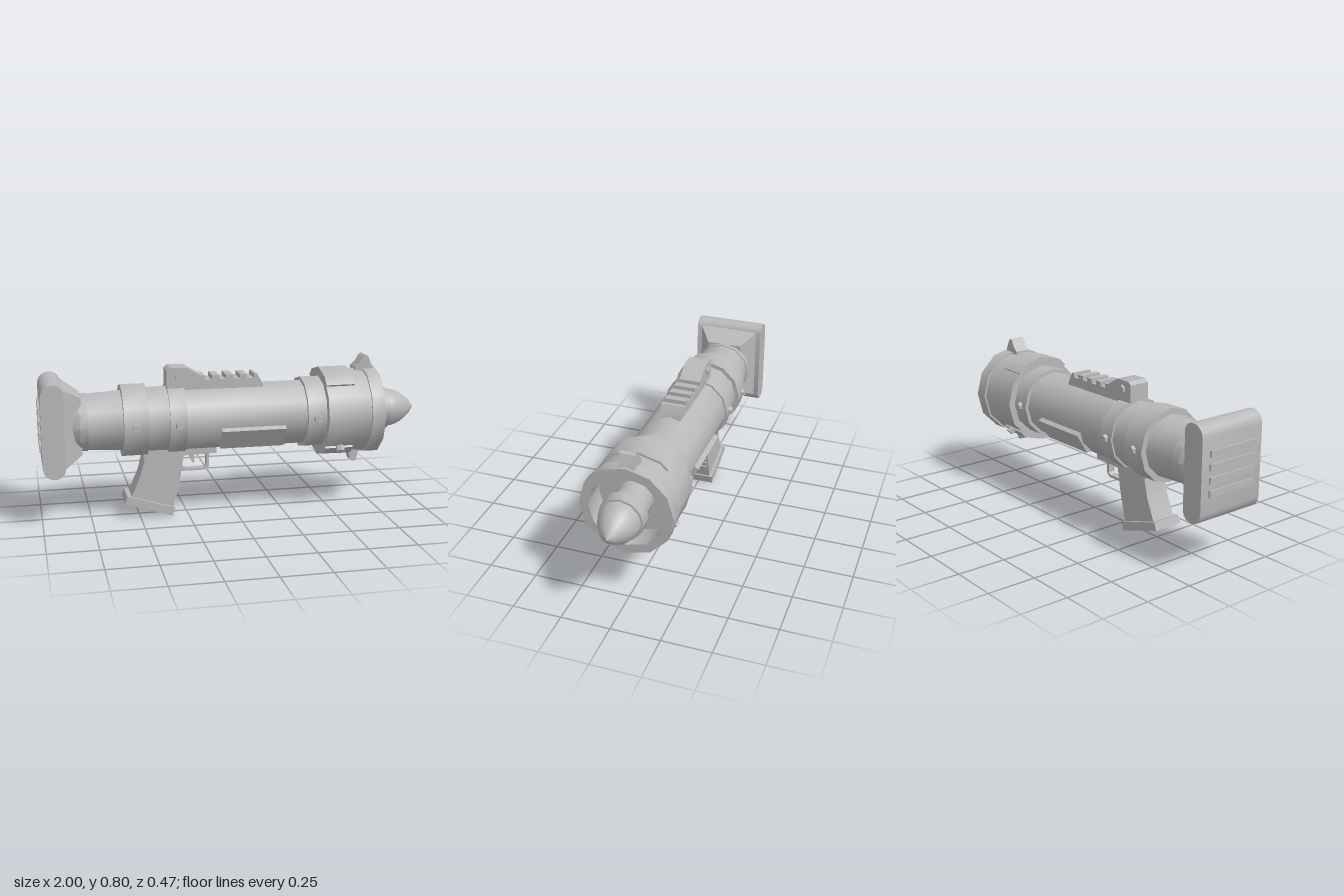
import * as THREE from 'three';
import { toCreasedNormals } from 'three/addons/utils/BufferGeometryUtils.js';

const AXIS = 0.505; // height of the barrel axis

export function createModel() {
  const model = new THREE.Group();
  const grey = new THREE.MeshStandardMaterial({ color: 0xb8b8b8 });
  grey.name = 'plain grey';

  const add = (name, geo) => {
    const mesh = new THREE.Mesh(toCreasedNormals(geo, 0.6), grey);
    mesh.name = name;
    model.add(mesh);
    return mesh;
  };
  const box = (name, w, h, d, x, y, z = 0, tilt = 0) =>
    add(name, new THREE.BoxGeometry(w, h, d).rotateZ(tilt).translate(x, y, z));
  // side outline extruded symmetrically across z
  const slab = (name, pts, width) => {
    const shape = new THREE.Shape(pts.map(p => new THREE.Vector2(...p)));
    return add(name, new THREE.ExtrudeGeometry(shape, { depth: width, bevelEnabled: false, curveSegments: 6 })
      .translate(0, 0, -width / 2));
  };
  // profile of [x, radius] turned around the barrel axis
  const turned = (name, pts) =>
    add(name, new THREE.LatheGeometry(pts.map(([x, r]) => new THREE.Vector2(r, x)), 12)
      .rotateZ(-Math.PI / 2).translate(0, AXIS, 0));
  // place a geometry at a distance from the axis, turned by an angle from the top
  const radial = (name, geo, x, r, deg) =>
    add(name, geo.translate(0, r, 0).rotateX(THREE.MathUtils.degToRad(deg)).translate(x, AXIS, 0));

  // Barrel with raised bands, drum and hollow muzzle
  turned('barrel', [
    [-0.84, 0], [-0.84, 0.13], [-0.8, 0.15], [-0.76, 0.152], [-0.76, 0.147], [-0.585, 0.158],
    [-0.585, 0.188], [-0.46, 0.188], [-0.46, 0.167], [-0.352, 0.17],
    [-0.352, 0.18], [-0.265, 0.18], [-0.265, 0.17], [0.36, 0.17],
    [0.36, 0.188], [0.46, 0.188], [0.46, 0.225], [0.69, 0.225],
    [0.69, 0.235], [0.76, 0.235], [0.76, 0.188], [0.63, 0.188], [0.63, 0],
  ]);

  // Projectile
  turned('warheadCollar', [[0.62, 0.09], [0.76, 0.09], [0.76, 0.113], [0.83, 0.113], [0.83, 0.09]]);
  turned('warheadNose', [
    [0.825, 0.104], [0.85, 0.102], [0.88, 0.094], [0.91, 0.08], [0.94, 0.06], [0.97, 0.034], [0.995, 0],
  ]);

  // Curved plates wrapped over and under the drum
  const arc = [-43, -30, 0, 30, 43];
  const ring = (r, list) => list.map(d => {
    const k = Math.abs(d) > 30 ? 0.967 : 1, a = THREE.MathUtils.degToRad(d);
    return new THREE.Vector2(Math.sin(a) * r * k, Math.cos(a) * r * k);
  });
  for (const [name, deg] of [['topDrumPlate', 0], ['bottomDrumPlate', 180]]) {
    const shape = new THREE.Shape([...ring(0.237, arc), ...ring(0.21, [...arc].reverse())]);
    const geo = new THREE.ExtrudeGeometry(shape, { depth: 0.15, bevelEnabled: false }).rotateY(Math.PI / 2);
    radial(name, geo, 0.46, 0, deg);
  }

  // Bolts, mirrored on both sides
  const bolt = (x, r, deg) =>
    radial('bolt', new THREE.CylinderGeometry(0.02, 0.024, 0.03, 6), x, r, deg);
  for (const s of [1, -1]) {
    bolt(-0.525, 0.187, 90 * s);
    bolt(-0.308, 0.18, 90 * s);
    bolt(0.41, 0.19, 90 * s);
    bolt(0.54, 0.237, 137 * s);
    add('sightBolt', new THREE.CylinderGeometry(0.023, 0.023, 0.02, 6)
      .rotateX(Math.PI / 2).translate(-0.29, 0.73, 0.06 * s));
    // Flat side panels
    radial('sidePanel', new THREE.BoxGeometry(0.335, 0.03, 0.122), 0.0775, 0.164, 122 * s);
  }

  // Rear sight block with toothed rail
  const rail = [[-0.352, 0.64], [0.15, 0.64], [0.15, 0.668], [0.118, 0.73]];
  for (let i = 0; i < 4; i++) {
    const x = 0.085 - i * 0.073;
    rail.push([x + 0.015, 0.73], [x + 0.015, 0.708], [x - 0.02, 0.708], [x - 0.02, 0.73]);
  }
  rail.push([-0.175, 0.73], [-0.235, 0.765], [-0.25, 0.775], [-0.335, 0.775], [-0.352, 0.76]);
  slab('sightRail', rail, 0.112);

  // Front sight and lower tab on the muzzle
  slab('frontSight', [[0.65, 0.72], [0.75, 0.72], [0.745, 0.74], [0.733, 0.765], [0.722, 0.793],
    [0.707, 0.802], [0.692, 0.793], [0.675, 0.76], [0.65, 0.738]], 0.08);
  slab('lowerTab', [[0.625, 0.3], [0.64, 0.235], [0.65, 0.225], [0.67, 0.225], [0.676, 0.235], [0.69, 0.3]], 0.054);

  // Shoulder rest: rounded pad, back ribs and tapered neck
  const pad = new THREE.Shape();
  pad.moveTo(-0.99, 0.32);
  pad.bezierCurveTo(-0.985, 0.247, -0.885, 0.247, -0.878, 0.31);
  pad.lineTo(-0.878, 0.70);
  pad.bezierCurveTo(-0.885, 0.753, -0.985, 0.753, -0.99, 0.68);
  add('shoulderPad', new THREE.ExtrudeGeometry(pad, { depth: 0.376, bevelEnabled: false, curveSegments: 8 })
    .translate(0, 0, -0.188));
  for (let i = 0; i < 4; i++) box('padRib', 0.02, 0.032, 0.28, -0.99, 0.6 - i * 0.063);
  const neck = new THREE.BoxGeometry(0.1, 1, 1);
  const pos = neck.attributes.position;
  for (let i = 0; i < pos.count; i++) {
    const rear = pos.getX(i) < 0;
    pos.setY(i, pos.getY(i) * (rear ? 0.41 : 0.29));
    pos.setZ(i, pos.getZ(i) * (rear ? 0.34 : 0.19));
  }
  add('shoulderNeck', neck.translate(-0.838, AXIS, 0));

  // Grip with finger ridges and foot
  slab('gripMount', [[-0.48, 0.318], [-0.27, 0.318], [-0.1, 0.322], [-0.1, 0.37], [-0.48, 0.37]], 0.13);
  slab('grip', [[-0.47, 0.335], [-0.478, 0.29], [-0.497, 0.22], [-0.55, 0.1], [-0.33, 0.045],
    [-0.315, 0.1], [-0.288, 0.21], [-0.268, 0.335]], 0.13);
  for (let i = 0; i < 3; i++) box('fingerRidge', 0.04, 0.02, 0.115, -0.307 - i * 0.009, 0.178 - i * 0.031, 0, -0.25);
  slab('gripFoot', [[-0.568, 0.12], [-0.582, 0.08], [-0.335, 0.0], [-0.322, 0.045]], 0.16);

  // Trigger and its guard
  slab('trigger', [[-0.235, 0.33], [-0.228, 0.285], [-0.213, 0.258], [-0.205, 0.265], [-0.21, 0.29], [-0.2, 0.33]], 0.02);
  const guard = new THREE.Shape([[-0.285, 0.222], [-0.15, 0.222], [-0.13, 0.24], [-0.13, 0.33], [-0.143, 0.33],
    [-0.143, 0.246], [-0.155, 0.235], [-0.255, 0.235], [-0.27, 0.25], [-0.285, 0.25]].map(p => new THREE.Vector2(...p)));
  add('triggerGuard', new THREE.ExtrudeGeometry(guard, { depth: 0.04, bevelEnabled: false }).translate(0, 0, -0.02));

  return model;
}
